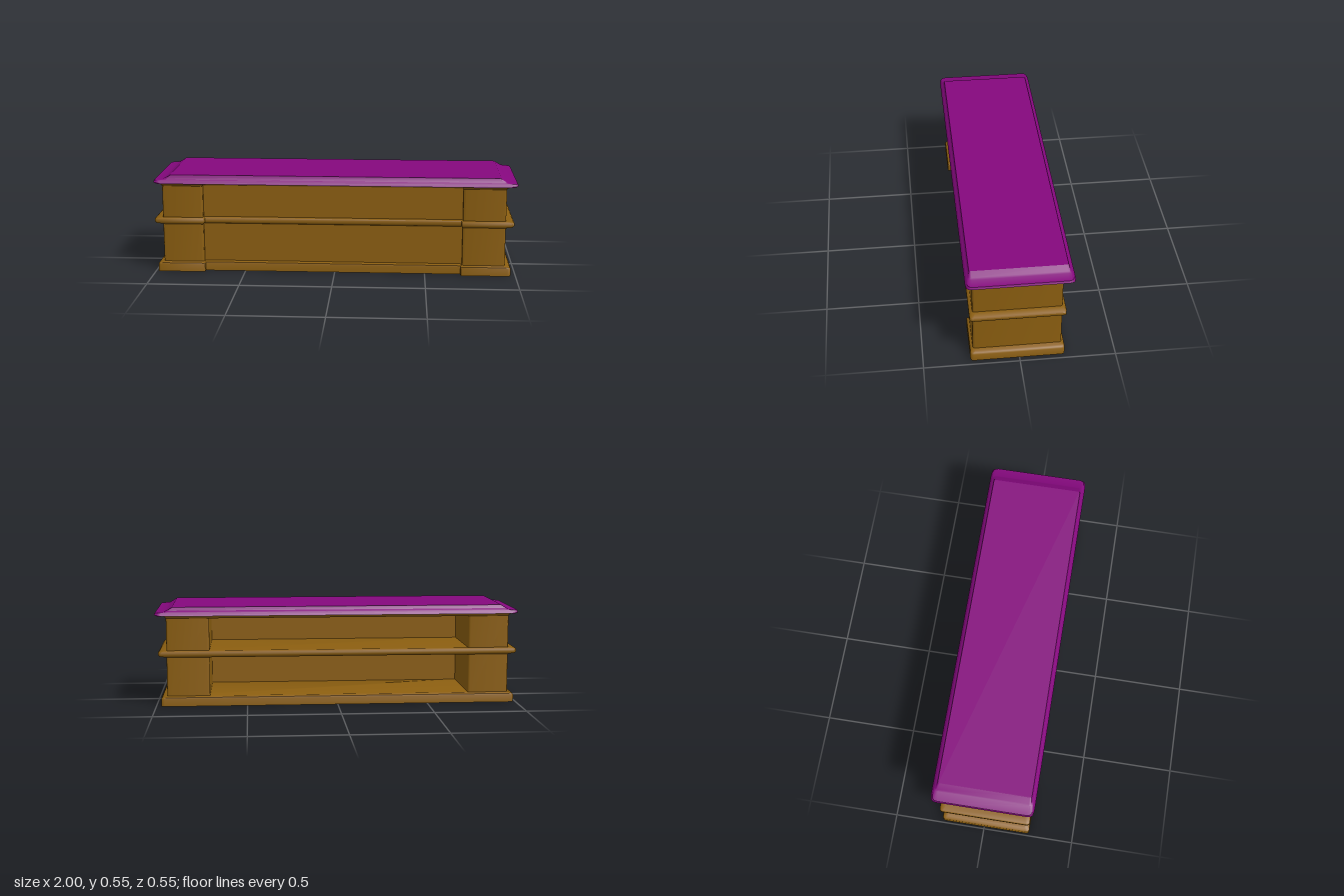
import * as THREE from 'three';
import { toCreasedNormals } from 'three/addons/utils/BufferGeometryUtils.js';

const wood = new THREE.MeshStandardMaterial({ color: 0x8b5e10 });
const cloth = new THREE.MeshStandardMaterial({ color: 0x85087e });

const LEFT = -0.955, RIGHT = 0.94, FRONT = 0.24, BACK = -0.222;
const IN_L = -0.73, IN_R = 0.705, RECESS = 0.03;

// Rounds each [x, z, radius] corner with a short curve.
function roundCorners(corners, steps = 3) {
  const out = [];
  corners.forEach(([x, z, r], i) => {
    const p = new THREE.Vector2(x, z);
    if (!r) { out.push(p); return; }
    const n = corners.length;
    const toward = (c) => {
      const d = new THREE.Vector2(c[0] - x, c[1] - z);
      return p.clone().add(d.setLength(r));
    };
    const curve = new THREE.QuadraticBezierCurve(
      toward(corners[(i + n - 1) % n]), p, toward(corners[(i + 1) % n]));
    out.push(...curve.getPoints(steps));
  });
  return out;
}

// Plan of the counter with end pillars standing forward, grown by ox and oz.
function counterPlan(ox, oz, r = 0.018) {
  const f = FRONT + oz, b = BACK - oz, s = oz * 0.5;
  return roundCorners([
    [LEFT - ox, f, r], [IN_L + s, f, 0.005], [IN_L + s, f - RECESS, 0],
    [IN_R - s, f - RECESS, 0], [IN_R - s, f, 0.005], [RIGHT + ox, f, r],
    [RIGHT + ox, b, r], [LEFT - ox, b, r],
  ]);
}

function rectPlan(x0, x1, z0, z1, r) {
  return roundCorners([[x0, z1, r], [x1, z1, r], [x1, z0, r], [x0, z0, r]]);
}

// Solid through stacked plans, each [y, points], closed at both ends.
function loft(name, rings, material, crease = 0.6) {
  const pos = [];
  const put = (y, p) => pos.push(p.x, y, p.y);
  for (let k = 0; k < rings.length - 1; k++) {
    const [y0, lo] = rings[k], [y1, hi] = rings[k + 1];
    for (let i = 0; i < lo.length; i++) {
      const j = (i + 1) % lo.length;
      put(y0, lo[i]); put(y0, lo[j]); put(y1, hi[j]);
      put(y0, lo[i]); put(y1, hi[j]); put(y1, hi[i]);
    }
  }
  const cap = ([y, pts], up) => {
    const flat = pts.map((p) => new THREE.Vector2(p.x, -p.y));
    for (const [a, b, c] of THREE.ShapeUtils.triangulateShape(flat, [])) {
      for (const i of up ? [a, b, c] : [c, b, a]) put(y, pts[i]);
    }
  };
  cap(rings[0], false);
  cap(rings[rings.length - 1], true);
  const geo = new THREE.BufferGeometry();
  geo.setAttribute('position', new THREE.Float32BufferAttribute(pos, 3));
  const mesh = new THREE.Mesh(toCreasedNormals(geo, crease), material);
  mesh.name = name;
  return mesh;
}

// Moulding from a profile of [y, ox, oz].
const moulding = (name, profile) =>
  loft(name, profile.map(([y, ox, oz]) => [y, counterPlan(ox, oz)]), wood, 0.9);

export function createModel() {
  const group = new THREE.Group();
  group.name = 'counter';

  // Plinth, middle shelf and cornice run right through the counter
  group.add(moulding('plinth', [
    [0, 0.033, 0.015], [0.04, 0.033, 0.015], [0.048, 0.027, 0.013],
    [0.051, 0.015, 0.006], [0.056, 0.003, 0.001],
  ]));
  group.add(moulding('middleShelf', [
    [0.27, 0.005, 0.002], [0.277, 0.038, 0.013], [0.284, 0.045, 0.016],
    [0.298, 0.045, 0.016], [0.304, 0.038, 0.013], [0.308, 0.005, 0.002],
  ]));
  group.add(moulding('cornice', [
    [0.485, 0.001, 0.001], [0.492, 0.006, 0.005],
    [0.498, 0.016, 0.014], [0.506, 0.02, 0.016],
  ]));

  // End pillars
  for (const [name, x0, x1] of [['rightPillar', LEFT, IN_L], ['leftPillar', IN_R, RIGHT]]) {
    const plan = rectPlan(x0, x1, BACK, FRONT, 0.012);
    group.add(loft(name, [[0.02, plan], [0.495, plan]], wood));
  }

  // Recessed front panel; the back stays open
  const panel = new THREE.Mesh(
    new THREE.BoxGeometry(IN_R - IN_L + 0.02, 0.475, 0.02), wood);
  panel.name = 'frontPanel';
  panel.position.set((IN_L + IN_R) / 2, 0.2575, FRONT - RECESS - 0.01);
  group.add(panel);

  // Stepped top: [y, half length, front z, back z, corner radius]
  const top = [
    [0.503, 0.985, 0.274, -0.278, 0.03], [0.509, 1.0, 0.272, -0.275, 0.03],
    [0.521, 0.995, 0.265, -0.268, 0.03], [0.526, 0.945, 0.260, -0.264, 0.02],
    [0.532, 0.935, 0.255, -0.256, 0.015], [0.55, 0.905, 0.250, -0.250, 0.01],
  ];
  group.add(loft('counterTop',
    top.map(([y, hx, f, b, r]) => [y, rectPlan(-hx, hx, b, f, r)]), cloth, 0.5));

  return group;
}
